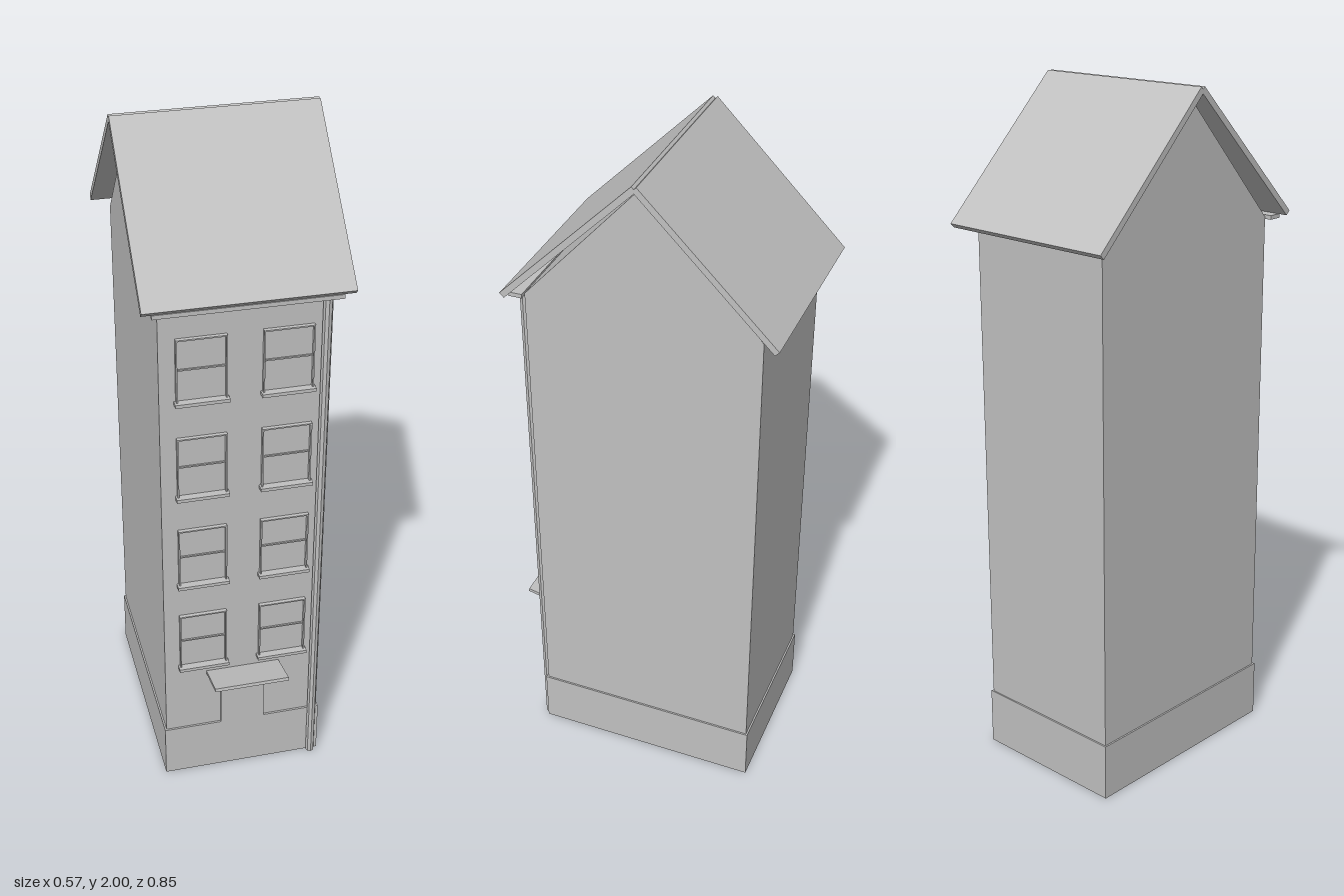
import * as THREE from 'three';

export function createModel() {
  const model = new THREE.Group();
  model.name = 'townHouse';
  const grey = new THREE.MeshStandardMaterial({ color: 0xc0c0c0, flatShading: true });
  grey.name = 'plain grey';

  const add = (parent, name, geometry) => {
    const mesh = new THREE.Mesh(geometry, grey);
    mesh.name = name;
    parent.add(mesh);
    return mesh;
  };
  // Box given by its minimum and maximum on each axis
  const box = (parent, name, x0, x1, y0, y1, z0, z1) => {
    const g = new THREE.BoxGeometry(x1 - x0, y1 - y0, z1 - z0);
    g.translate((x0 + x1) / 2, (y0 + y1) / 2, (z0 + z1) / 2);
    return add(parent, name, g);
  };
  // Side profile of [z, y] points, extruded across the width
  const profile = (parent, name, points, halfWidth) => {
    const shape = new THREE.Shape(points.map(([z, y]) => new THREE.Vector2(-z, y)));
    const g = new THREE.ExtrudeGeometry(shape, { depth: halfWidth * 2, bevelEnabled: false });
    g.translate(0, 0, -halfWidth);
    g.rotateY(Math.PI / 2);
    return add(parent, name, g);
  };

  const ridgeZ = -0.0365;
  const wallFront = 0.303;

  // Walls with gables
  profile(model, 'walls', [
    [wallFront, 0], [wallFront, 1.6], [ridgeZ, 1.975], [-0.368, 1.6], [-0.368, 0],
  ], 0.236);

  // Plinth and the door panel rising from it
  box(model, 'plinth', -0.241, 0.241, 0, 0.17, -0.373, 0.309);
  box(model, 'door', -0.067, 0.067, 0.165, 0.31, 0.29, 0.309);
  box(model, 'doorLintel', -0.09, 0.09, 0.323, 0.34, 0.29, 0.325);

  // Door canopy, tilted up towards the street
  profile(model, 'doorCanopy', [
    [0.3, 0.366], [0.3, 0.376], [0.419, 0.404], [0.421, 0.394],
  ], 0.111);

  // Roof slabs crossing at the ridge
  const run = 0.382, t = 0.0125;
  for (const side of [1, -1]) {
    const z = ridgeZ + side * 0.0065;
    profile(model, side > 0 ? 'frontRoof' : 'backRoof', [
      [z, 2], [z + side * run, 2 - run],
      [z + side * (run - t), 2 - run - t], [z - side * t, 2 - t],
    ], 0.285);
  }

  // Gutter and downpipe
  box(model, 'gutter', -0.257, 0.254, 1.594, 1.606, 0.303, 0.343);
  const pipe = new THREE.CylinderGeometry(0.013, 0.013, 1.6, 8);
  pipe.translate(0.218, 0.8, 0.313);
  add(model, 'downpipe', pipe);

  // Windows: thin raised frame, middle rail and sill
  for (let row = 0; row < 4; row++) {
    for (const x of [-0.121, 0.117]) {
      const win = new THREE.Group();
      win.name = 'window';
      win.position.set(x, 0.415 + row * 0.303, wallFront);
      model.add(win);
      const w = 0.07, h = 0.187, e = 0.004;
      box(win, 'frameLeft', w - e, w, 0, h, 0, 0.012);
      box(win, 'frameRight', -w, -w + e, 0, h, 0, 0.012);
      box(win, 'frameTop', -w, w, h - e, h, 0, 0.012);
      box(win, 'middleRail', -w, w, h * 0.5 - 0.002, h * 0.5 + 0.002, 0, 0.005);
      box(win, 'sill', -w - 0.005, w + 0.005, -0.01, 0, 0, 0.023);
    }
  }
  return model;
}
